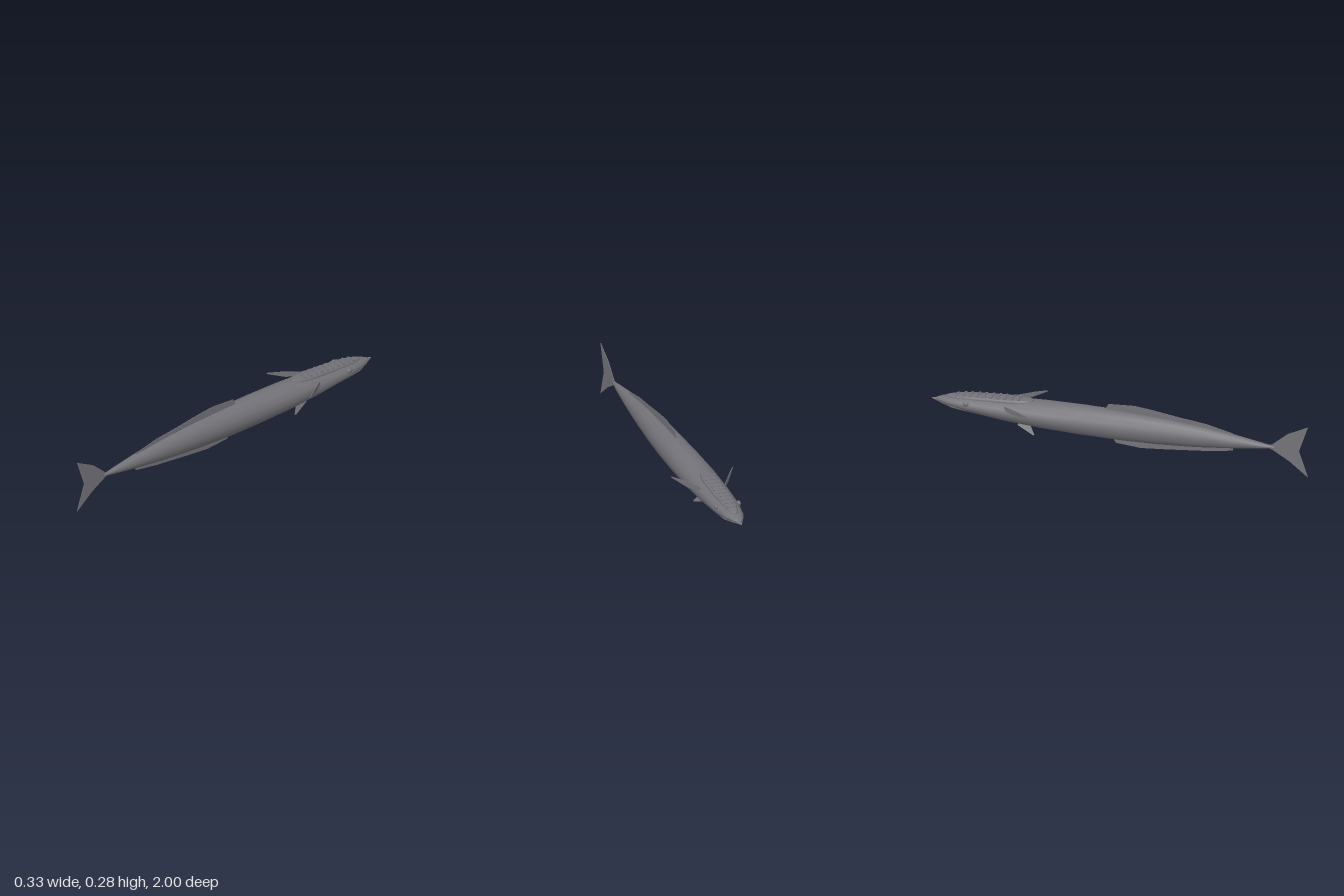
import * as THREE from 'three';

const skin = new THREE.MeshStandardMaterial({ color: 0x737278 });
skin.name = 'slate grey skin';

// Body stations: z, top y, bottom y, half width
const BODY = [
  [-0.975, 0.150, 0.139, 0.012], [-0.95, 0.159, 0.133, 0.028], [-0.9, 0.172, 0.120, 0.049],
  [-0.8, 0.186, 0.103, 0.067], [-0.6, 0.200, 0.084, 0.080], [-0.4, 0.212, 0.071, 0.084],
  [-0.2, 0.219, 0.064, 0.081], [0, 0.220, 0.063, 0.075], [0.2, 0.215, 0.069, 0.064],
  [0.4, 0.202, 0.083, 0.050], [0.6, 0.180, 0.105, 0.033], [0.75, 0.158, 0.126, 0.017],
  [0.82, 0.147, 0.136, 0.006],
];
// Lower jaw stations, reaching past the snout
const JAW = [
  [-1, 0.143, 0.139, 0.002], [-0.975, 0.146, 0.134, 0.014], [-0.94, 0.145, 0.128, 0.031],
  [-0.88, 0.145, 0.116, 0.052], [-0.8, 0.140, 0.106, 0.055],
];

// Smooth tube through elliptical cross-sections, closed at both ends
function loft(stations, sides) {
  const pos = [], index = [], n = stations.length;
  for (const [z, top, bottom, w] of stations) {
    for (let j = 0; j < sides; j++) {
      const a = (j / sides) * Math.PI * 2;
      pos.push(Math.cos(a) * w, (top + bottom) / 2 + Math.sin(a) * (top - bottom) / 2, z);
    }
  }
  for (let i = 0; i < n - 1; i++) {
    for (let j = 0; j < sides; j++) {
      const k = (j + 1) % sides, r = i * sides, s = r + sides;
      index.push(r + j, r + k, s + k, r + j, s + k, s + j);
    }
  }
  const last = (n - 1) * sides;
  for (let j = 1; j < sides - 1; j++) {
    index.push(0, j + 1, j, last, last + j, last + j + 1);
  }
  const g = new THREE.BufferGeometry();
  g.setAttribute('position', new THREE.Float32BufferAttribute(pos, 3));
  g.setIndex(index);
  g.computeVertexNormals();
  return g;
}

// Height of the back at a given z
function backHeight(z) {
  for (let i = 1; i < BODY.length; i++) {
    const [z0, y0] = BODY[i - 1], [z1, y1] = BODY[i];
    if (z <= z1) return y0 + (y1 - y0) * (z - z0) / (z1 - z0);
  }
  return 0.147;
}

// Thin plate from an outline, centred on its own plane
function plate(points, depth = 0.003) {
  const shape = new THREE.Shape(points.map(([x, y]) => new THREE.Vector2(x, y)));
  return new THREE.ExtrudeGeometry(shape, { depth, bevelEnabled: false }).translate(0, 0, -depth / 2);
}

// Outline given as (z, y) pairs, standing in the middle plane
const uprightPlate = (points, depth) => plate(points, depth).rotateY(-Math.PI / 2);

// Half width of the sucker disc along its length
function discHalfWidth(t) {
  return 0.047 * Math.pow(Math.max(0, 1 - Math.pow(Math.abs(2 * t - 1), 4)), 0.5) * (0.78 + 0.22 * t);
}

// Sucker disc: a domed sheet with a rim, draped over the head
function discGeometry(z0, z1) {
  const stations = [];
  for (let i = 0; i <= 20; i++) {
    const t = 0.5 - 0.5 * Math.cos((i / 20) * Math.PI);
    const z = z0 + (z1 - z0) * t;
    const y = backHeight(z);
    stations.push([z, y + 0.007, y - 0.024, Math.max(0.004, discHalfWidth(t))]);
  }
  const g = loft(stations, 16);
  // Square off the rounded section so the disc reads as a flat pad
  const p = g.attributes.position;
  for (let i = 0; i < p.count; i++) {
    const [, top, bottom] = stations[Math.floor(i / 16)];
    const s = (p.getY(i) - (top + bottom) / 2) / ((top - bottom) / 2);
    p.setY(i, (top + bottom) / 2 + Math.sign(s) * Math.pow(Math.abs(s), 0.45) * (top - bottom) / 2);
  }
  g.computeVertexNormals();
  return g;
}

export function createModel() {
  const model = new THREE.Group();
  model.name = 'suckerFish';
  const add = (name, geometry, parent = model) => {
    const mesh = new THREE.Mesh(geometry, skin);
    mesh.name = name;
    parent.add(mesh);
    return mesh;
  };

  add('body', loft(BODY, 14));
  add('lowerJaw', loft(JAW, 12));

  // Sucker disc with two rows of slats
  const sucker = new THREE.Group();
  sucker.name = 'suckerDisc';
  model.add(sucker);
  const z0 = -0.92, z1 = -0.46;
  add('discPad', discGeometry(z0, z1), sucker);
  for (let i = 0; i < 10; i++) {
    const t = 0.12 + i * 0.08, z = z0 + (z1 - z0) * t;
    const w = discHalfWidth(t) * 0.72;
    for (const side of [-1, 1]) {
      const slat = add('discSlat', new THREE.BoxGeometry(w, 0.006, 0.014), sucker);
      slat.position.set(side * (w / 2 + 0.002), backHeight(z) + 0.006, z);
      slat.rotation.set(-0.2, side * -0.15, side * -0.06);
    }
  }

  // Fins in the middle plane
  add('dorsalFin', uprightPlate([
    [-0.06, 0.205], [-0.075, 0.222], [-0.062, 0.249], [0.075, 0.259], [0.166, 0.251],
    [0.326, 0.23], [0.46, 0.216], [0.6, 0.185], [0.6, 0.17], [0.3, 0.19],
  ]));
  add('analFin', uprightPlate([
    [-0.03, 0.08], [0.3, 0.095], [0.6, 0.115], [0.6, 0.09], [0.46, 0.067],
    [0.246, 0.043], [0.11, 0.03], [-0.02, 0.039], [-0.042, 0.066],
  ]));
  add('tailFin', uprightPlate([
    [0.78, 0.148], [0.81, 0.157], [0.89, 0.226], [1, 0.28], [0.952, 0.14],
    [1, 0], [0.9, 0.077], [0.81, 0.128], [0.78, 0.136],
  ]));

  // Paired fins and eyes
  for (const side of [-1, 1]) {
    const label = side > 0 ? 'left' : 'right';

    const pectoral = add(label + 'PectoralFin', plate([
      [-0.015, 0.162], [0.07, 0.161], [0.168, 0.187], [0.166, 0.192], [0.1, 0.192], [-0.015, 0.184],
    ]));
    pectoral.position.set(side * 0.075, 0, -0.58);
    pectoral.rotation.y = side > 0 ? -1 : Math.PI + 1;

    const pelvic = add(label + 'PelvicFin', uprightPlate([
      [-0.53, 0.012], [-0.535, 0], [-0.445, -0.041], [-0.44, -0.036], [-0.47, 0.012],
    ]));
    pelvic.position.set(side * 0.03, 0.073, 0);
    pelvic.rotation.z = side * 0.46;

    const eye = add(label + 'Eye', new THREE.SphereGeometry(0.014, 12, 8));
    eye.scale.set(0.7, 1, 1.15);
    eye.position.set(side * 0.061, 0.163, -0.8);
  }

  return model;
}
